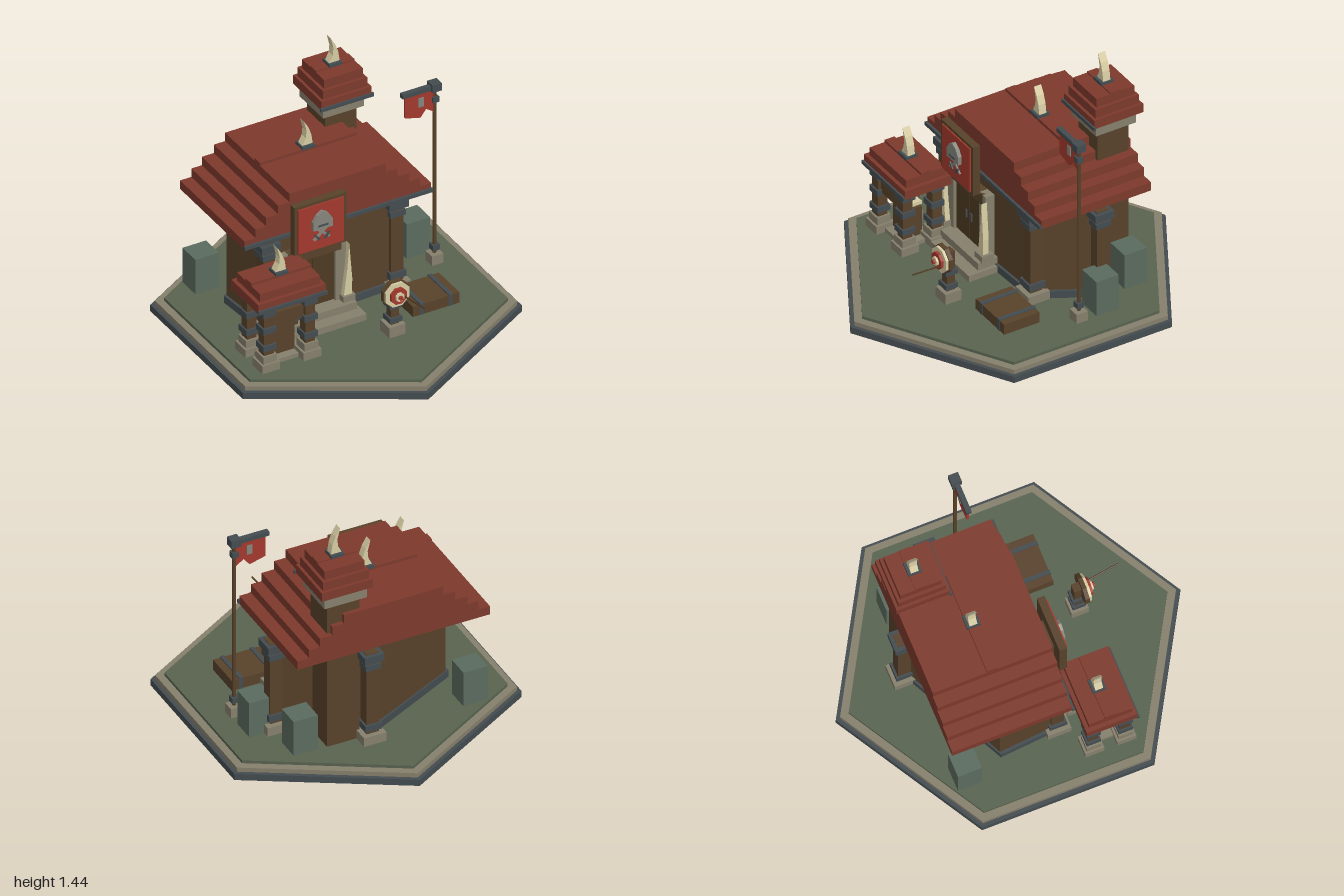
import * as THREE from 'three';

const mat = (name, color) => {
  const m = new THREE.MeshStandardMaterial({ color });
  m.name = name;
  m.flatShading = true;
  return m;
};

export function createModel() {
  const slate = mat('slate', 0x444c50), stone = mat('stone', 0x857f6c), grass = mat('grass', 0x58634f);
  const mossStone = mat('mossStone', 0x5a6b5e), wood = mat('wood', 0x58422a), doorWood = mat('doorWood', 0x4e3a22);
  const roofRed = mat('roofRed', 0x7d392c), clothRed = mat('clothRed', 0xa3382c), ivory = mat('ivory', 0xd6cba2);
  const steel = mat('steel', 0x85857c);
  const root = new THREE.Group();
  root.name = 'guildHall';

  const add = (parent, name, geo, m) => {
    const mesh = new THREE.Mesh(geo, m);
    mesh.name = name;
    parent.add(mesh);
    return mesh;
  };
  const group = (name) => {
    const g = new THREE.Group();
    g.name = name;
    root.add(g);
    return g;
  };
  // box from its limits
  const box = (p, name, m, x0, x1, y0, y1, z0, z1) => {
    const b = add(p, name, new THREE.BoxGeometry(x1 - x0, y1 - y0, z1 - z0), m);
    b.position.set((x0 + x1) / 2, (y0 + y1) / 2, (z0 + z1) / 2);
    return b;
  };
  // square block centred on x, z
  const block = (p, name, m, x, z, w, y0, y1) =>
    box(p, name, m, x - w / 2, x + w / 2, y0, y1, z - w / 2, z + w / 2);
  const shape = (pts) => new THREE.Shape(pts.map(([x, y]) => new THREE.Vector2(x, y)));
  // flat outline in the xy plane, thickened along z and centred
  const plate = (p, name, m, pts, depth, x, y, z) => {
    const g = new THREE.ExtrudeGeometry(shape(pts), { depth, bevelEnabled: false });
    g.translate(0, 0, -depth / 2);
    const mesh = add(p, name, g, m);
    mesh.position.set(x, y, z);
    return mesh;
  };
  // floor plan raised from y0 to y1
  const prism = (p, name, m, plan, y0, y1) => {
    const g = new THREE.ExtrudeGeometry(shape(plan.map(([x, z]) => [x, -z])), { depth: y1 - y0, bevelEnabled: false });
    g.rotateX(-Math.PI / 2);
    add(p, name, g, m).position.y = y0;
  };

  // Hexagonal ground
  const ground = group('ground');
  [['groundRim', slate, 1, 0, 0.04], ['groundCurb', stone, 0.975, 0.04, 0.067], ['groundTop', grass, 0.925, 0.067, 0.085]]
    .forEach(([name, m, r, y0, y1]) => {
      add(ground, name, new THREE.CylinderGeometry(r, r, y1 - y0, 6), m).position.y = (y0 + y1) / 2;
    });
  const G = 0.085;

  // Hall walls and plinth
  const hall = group('hall');
  const plan = [[-0.5, 0.1], [0.33, 0.06], [0.51, -0.26], [0.09, -0.56], [-0.53, -0.26]];
  prism(hall, 'hallWalls', wood, plan, G, 0.67);
  prism(hall, 'hallPlinth', slate, plan.map(([x, z]) => [x * 1.03, (z + 0.23) * 1.05 - 0.23]), G, 0.13);

  // Corner pillars
  [[0.33, 0.05], [0.51, -0.26], [0.09, -0.58], [-0.48, 0.08]].forEach(([x, z]) => {
    const p = group('pillar');
    block(p, 'pillarFoot', stone, x, z, 0.135, G, 0.14);
    block(p, 'pillarShaft', wood, x, z, 0.075, 0.14, 0.66);
    block(p, 'pillarLowBand', slate, x, z, 0.1, 0.16, 0.2);
    block(p, 'pillarNeck', slate, x, z, 0.095, 0.555, 0.59);
    block(p, 'pillarCap', slate, x, z, 0.12, 0.61, 0.655);
  });

  // Curved horn on a slate foot
  const hornPts = [[-0.033, 0], [0.033, 0], [0.024, 0.06], [0.006, 0.11], [-0.022, 0.157], [-0.006, 0.09], [-0.01, 0.045]];
  const horn = (x, y, z) => {
    const h = group('roofHorn');
    block(h, 'hornFoot', slate, x, z, 0.078, y, y + 0.02);
    plate(h, 'horn', ivory, hornPts, 0.045, x, y + 0.018, z);
  };

  // Main roof: slabs stepped along x
  const roof = group('mainRoof');
  [0.58, 0.51, 0.445, 0.37, 0.3].forEach((w, i) => {
    box(roof, 'roofStep', roofRed, -0.055 - w, -0.055 + w, 0.665 + i * 0.054, 0.719 + i * 0.054, -0.58, 0.115);
  });
  box(roof, 'roofRidge', roofRed, -0.355, 0.245, 0.935, 0.953, -0.265, -0.205);
  box(roof, 'roofTrim', slate, -0.64, 0.53, 0.668, 0.69, 0.115, 0.13);
  horn(-0.055, 0.95, -0.235);

  // Tower
  const tower = group('tower');
  box(tower, 'towerShaft', wood, 0.14, 0.335, G, 1.02, -0.555, -0.36);
  box(tower, 'towerCornice', stone, 0.11, 0.365, 1.015, 1.09, -0.585, -0.33);
  [0.155, 0.138, 0.12].forEach((w, i) => {
    box(tower, 'towerRoofStep', roofRed, 0.24 - w, 0.24 + w, 1.09 + i * 0.055, 1.145 + i * 0.055, -0.457 - w, -0.457 + w);
  });
  box(tower, 'towerRidge', roofRed, 0.12, 0.36, 1.25, 1.263, -0.49, -0.425);
  box(tower, 'towerTrim', slate, 0.075, 0.405, 1.085, 1.107, -0.305, -0.292);
  horn(0.24, 1.26, -0.457);

  // Doorway, steps and flanking tusks
  const door = group('doorway');
  box(door, 'lowerStep', stone, -0.455, 0.035, G, 0.125, 0.05, 0.27);
  box(door, 'upperStep', stone, -0.42, 0.015, 0.125, 0.17, 0.05, 0.2);
  [-1, 1].forEach((s) => {
    const x = -0.21 + s * 0.066;
    box(door, 'doorLeaf', doorWood, x - 0.064, x + 0.064, 0.17, 0.49, 0.07, 0.115);
    box(door, 'doorHandle', slate, -0.21 + s * 0.025 - 0.006, -0.21 + s * 0.025 + 0.006, 0.3, 0.35, 0.115, 0.123);
    block(door, 'doorPost', stone, -0.21 + s * 0.163, 0.1, 0.066, 0.17, 0.56);
    const tusk = plate(door, 'doorTusk', ivory, [[-0.028, 0], [0.022, 0], [0.025, 0.1], [0.006, 0.33], [-0.006, 0.17]], 0.035, -0.21 + s * 0.193, 0.2, 0.145);
    if (s < 0) tusk.rotation.y = Math.PI;
    block(door, 'tuskFoot', stone, -0.21 + s * 0.193, 0.14, 0.075, 0.16, 0.205);
  });
  box(door, 'lintel', wood, -0.375, -0.045, 0.49, 0.56, 0.06, 0.135);
  box(door, 'signBracket', wood, -0.29, -0.13, 0.555, 0.76, 0.1, 0.155);

  // Sign board with helmet and crossed blades
  const sign = group('signBoard');
  box(sign, 'signFrame', wood, -0.37, -0.045, 0.575, 0.89, 0.15, 0.193);
  box(sign, 'signPanel', clothRed, -0.35, -0.067, 0.59, 0.872, 0.193, 0.202);
  plate(sign, 'helmet', steel, [[-0.06, 0], [0.06, 0], [0.06, 0.05], [0.035, 0.09], [0, 0.112], [-0.035, 0.09], [-0.06, 0.05]], 0.025, -0.208, 0.725, 0.212);
  box(sign, 'helmetSlit', slate, -0.238, -0.178, 0.745, 0.755, 0.224, 0.229);
  [-1, 1].forEach((s) => {
    const blade = add(sign, 'crossedBlade', new THREE.BoxGeometry(0.13, 0.014, 0.009), steel);
    blade.position.set(-0.208, 0.697, 0.207 + s * 0.002);
    blade.rotation.z = s * 0.7;
    const guard = add(sign, 'bladeGuard', new THREE.BoxGeometry(0.012, 0.045, 0.009), slate);
    guard.position.set(-0.208 + s * 0.03, 0.672, 0.213);
    guard.rotation.z = -s * 0.7;
  });

  // Small shrine
  const shrine = group('shrine');
  [-0.663, -0.407].forEach((x) => [0.215, 0.4].forEach((z) => {
    block(shrine, 'shrineFoot', stone, x, z, 0.11, G, 0.135);
    block(shrine, 'shrineFootTop', stone, x, z, 0.085, 0.135, 0.18);
    block(shrine, 'shrinePost', wood, x, z, 0.06, 0.18, 0.48);
    [0.21, 0.32, 0.425].forEach((y) => block(shrine, 'shrineBand', slate, x, z, 0.082, y, y + 0.036));
  }));
  [0.215, 0.4].forEach((z) => box(shrine, 'shrineBeam', wood, -0.7, -0.37, 0.445, 0.478, z - 0.02, z + 0.02));
  box(shrine, 'shrineBoard', wood, -0.64, -0.43, 0.335, 0.42, 0.385, 0.41);
  box(shrine, 'altar', wood, -0.61, -0.46, G, 0.29, 0.26, 0.35);
  box(shrine, 'altarTop', ivory, -0.61, -0.46, 0.305, 0.325, 0.26, 0.35);
  box(shrine, 'altarNeck', slate, -0.59, -0.48, 0.29, 0.305, 0.275, 0.335);
  box(shrine, 'shrineSill', stone, -0.66, -0.41, G, 0.11, 0.22, 0.4);
  box(shrine, 'shrineEaves', roofRed, -0.742, -0.322, 0.478, 0.535, 0.158, 0.452);
  box(shrine, 'shrineRoofTop', roofRed, -0.718, -0.346, 0.535, 0.585, 0.18, 0.43);
  box(shrine, 'shrineRidge', roofRed, -0.718, -0.346, 0.585, 0.6, 0.272, 0.335);
  box(shrine, 'shrineTrim', slate, -0.747, -0.317, 0.475, 0.497, 0.452, 0.464);
  horn(-0.53, 0.597, 0.303);

  // Practice target with an arrow
  const target = group('target');
  block(target, 'targetFoot', stone, 0.1, 0.44, 0.1, G, 0.15);
  block(target, 'targetPost', wood, 0.1, 0.44, 0.05, 0.15, 0.4);
  [0.165, 0.255].forEach((y) => block(target, 'targetBand', slate, 0.1, 0.44, 0.076, y, y + 0.03));
  [['targetBack', wood, 0.086, 0.458, 0.482], ['targetOuter', ivory, 0.078, 0.482, 0.498], ['targetRing', clothRed, 0.052, 0.498, 0.515],
    ['targetInner', ivory, 0.027, 0.515, 0.528], ['targetBoss', clothRed, 0.013, 0.528, 0.54]].forEach(([name, m, r, z0, z1]) => {
    const d = add(target, name, new THREE.CylinderGeometry(r, r, z1 - z0, 8).rotateY(Math.PI / 8).rotateX(Math.PI / 2), m);
    d.position.set(0.097, 0.354, (z0 + z1) / 2);
  });
  const arrow = add(target, 'arrow', new THREE.CylinderGeometry(0.005, 0.005, 0.21, 6).rotateX(Math.PI / 2), doorWood);
  arrow.position.set(0.142, 0.35, 0.595);
  arrow.lookAt(0.152, 0.361, 0.69);

  // Banner pole
  const banner = group('banner');
  block(banner, 'poleFoot', stone, 0.64, -0.05, 0.072, G, 0.145);
  block(banner, 'poleCollar', slate, 0.64, -0.05, 0.042, 0.165, 0.2);
  add(banner, 'pole', new THREE.CylinderGeometry(0.011, 0.011, 1.12, 8), wood).position.set(0.64, 0.67, -0.05);
  block(banner, 'poleCap', slate, 0.64, -0.05, 0.058, 1.19, 1.238);
  block(banner, 'poleBand', slate, 0.64, -0.05, 0.038, 1.115, 1.15);
  box(banner, 'bannerArm', slate, 0.435, 0.64, 1.198, 1.225, -0.065, -0.035);
  plate(banner, 'bannerCloth', clothRed, [[0.455, 1.2], [0.455, 1.065], [0.55, 1.04], [0.585, 1.085], [0.645, 1.045], [0.645, 1.2]], 0.012, 0, 0, -0.05);
  box(banner, 'bannerBadge', steel, 0.535, 0.568, 1.11, 1.168, -0.06, -0.04);

  // Crate and standing stones
  const crate = group('crate');
  box(crate, 'crateBody', wood, 0.265, 0.555, G, 0.15, 0.145, 0.37);
  [0.32, 0.5].forEach((x) => box(crate, 'crateStrap', slate, x - 0.012, x + 0.012, G, 0.157, 0.142, 0.373));
  const stones = group('standingStones');
  [[0.595, -0.215], [0.46, -0.478], [-0.565, -0.478]].forEach(([x, z]) =>
    box(stones, 'standingStone', mossStone, x - 0.073, x + 0.073, G, 0.305, z - 0.07, z + 0.07));

  return root;
}
